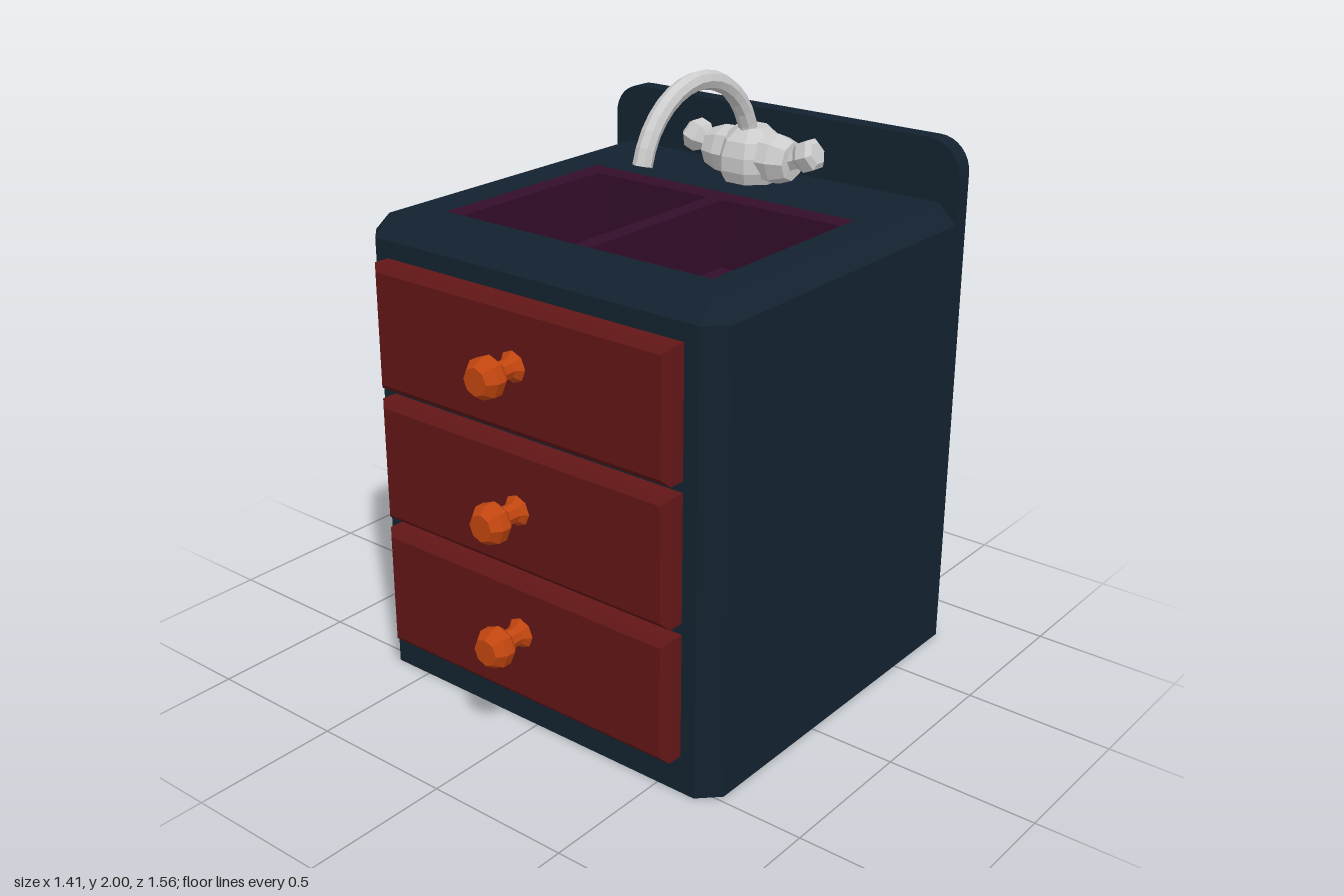
import * as THREE from 'three';

const mat = (color) => new THREE.MeshStandardMaterial({ color, flatShading: true, side: THREE.DoubleSide });
const navy = mat(0x13222f), red = mat(0x621616), orange = mat(0xc2460f), plum = mat(0x330d2a), grey = mat(0xcccccc);

function add(parent, name, geometry, material, x = 0, y = 0, z = 0) {
  const mesh = new THREE.Mesh(geometry, material);
  mesh.name = name;
  mesh.position.set(x, y, z);
  parent.add(mesh);
  return mesh;
}

// Joins rings of [x, y, z] corners with quads; may close the last ring.
function loft(rings, cap = false) {
  const pos = [], n = rings[0].length;
  for (let r = 0; r < rings.length - 1; r++) {
    for (let i = 0; i < n; i++) {
      const j = (i + 1) % n;
      const a = rings[r][i], b = rings[r][j], c = rings[r + 1][j], d = rings[r + 1][i];
      pos.push(...a, ...b, ...c, ...a, ...c, ...d);
    }
  }
  const last = rings[rings.length - 1];
  if (cap) for (let i = 1; i < n - 1; i++) pos.push(...last[0], ...last[i], ...last[i + 1]);
  const g = new THREE.BufferGeometry();
  g.setAttribute('position', new THREE.Float32BufferAttribute(pos, 3));
  g.computeVertexNormals();
  return g;
}

// Rectangle ring, counter-clockwise seen from above
const rect = (x0, x1, z0, z1, y) => [[x0, y, z1], [x1, y, z1], [x1, y, z0], [x0, y, z0]];

// Low-poly turned form from [radius, height] pairs
const turned = (points, sides = 8) => new THREE.LatheGeometry(points.map(([r, y]) => new THREE.Vector2(r, y)), sides);

const W = 0.705, BACK = -0.78, FRONT = 0.543, TOP = 1.59, C = 0.065;
const basin = { x0: -0.51, x1: 0.54, z0: -0.375, z1: 0.355 };

function makeCabinet() {
  const g = new THREE.Group();
  g.name = 'cabinet';
  // Shell, open underneath, with chamfered front corners and top edges
  const ring = (y) => [[-W + C, y, FRONT], [W - C, y, FRONT], [W, y, FRONT - C], [W, y, BACK], [-W, y, BACK], [-W, y, FRONT - C]];
  const inner = [-1, 1, 1, 1, -1, -1].map((s, i) => [s * (W - C), TOP, i === 3 || i === 4 ? BACK : FRONT - C]);
  add(g, 'cabinetShell', loft([ring(0), ring(TOP - C), inner]), navy);

  // Worktop with the basin opening
  const top = new THREE.Shape([[-W + C, -BACK], [-W + C, C - FRONT], [W - C, C - FRONT], [W - C, -BACK]].map((p) => new THREE.Vector2(...p)));
  const { x0, x1, z0, z1 } = basin;
  top.holes.push(new THREE.Path([[x0, -z0], [x1, -z0], [x1, -z1], [x0, -z1]].map((p) => new THREE.Vector2(...p))));
  add(g, 'worktop', new THREE.ShapeGeometry(top).rotateX(-Math.PI / 2), navy, 0, TOP, 0);

  // Back panel with rounded upper corners
  const r = 0.11, h = 1.795, s = new THREE.Shape();
  s.moveTo(-W, TOP - C);
  s.lineTo(W, TOP - C);
  s.absarc(W - r, h - r, r, 0, Math.PI / 2);
  s.absarc(-W + r, h - r, r, Math.PI / 2, Math.PI);
  add(g, 'backsplash', new THREE.ExtrudeGeometry(s, { depth: 0.065, bevelEnabled: false, curveSegments: 4 }), navy, 0, 0, BACK);
  return g;
}

function makeBasin() {
  const g = new THREE.Group();
  g.name = 'basin';
  const { x0, x1, z0, z1 } = basin, t = 0.022, floor = TOP - 0.25;
  const rings = [
    rect(x0, x1, z0, z1, TOP),
    rect(x0 + t, x1 - t, z0 + t, z1 - t, TOP - 0.02),
    rect(x0 + t, x1 - t, z0 + t, z1 - t, floor),
  ];
  add(g, 'basinBowl', loft(rings.map((ring) => ring.reverse()), false), plum);
  add(g, 'basinFloor', new THREE.PlaneGeometry(x1 - x0 - 2 * t, z1 - z0 - 2 * t).rotateX(-Math.PI / 2), plum, (x0 + x1) / 2, floor, (z0 + z1) / 2);
  add(g, 'basinDivider', new THREE.BoxGeometry(0.06, 0.23, z1 - z0 - 2 * t), plum, 0.015, floor + 0.115, (z0 + z1) / 2);
  return g;
}

function makeDrawer(y0, y1, knobY) {
  const g = new THREE.Group();
  g.name = 'drawer';
  // Front board with a bevelled face
  const b = 0.022, w = 0.588;
  const ring = (inset, z) => [[-w + inset, y0 + inset, z], [w - inset, y0 + inset, z], [w - inset, y1 - inset, z], [-w + inset, y1 - inset, z]];
  add(g, 'drawerFront', loft([ring(0, FRONT - 0.01), ring(0, 0.597), ring(b, 0.617)], true), red);
  // Turned knob
  const knob = turned([[0.055, 0], [0.032, 0.025], [0.032, 0.068], [0.052, 0.082], [0.067, 0.1], [0.067, 0.132], [0.045, 0.163], [0, 0.163]]);
  add(g, 'knob', knob.rotateX(Math.PI / 2), orange, 0.007, knobY, 0.613);
  return g;
}

function makeFaucet() {
  const g = new THREE.Group();
  g.name = 'faucet';
  const z = -0.575;
  // Faceted body and its side arms
  const body = turned([[0.1, 0], [0.118, 0.04], [0.118, 0.09], [0.1, 0.14], [0.055, 0.18], [0, 0.18]], 8);
  add(g, 'faucetBody', body.rotateY(Math.PI / 8), grey, 0, TOP, z);
  for (const s of [-1, 1]) {
    const side = new THREE.Group();
    side.name = s > 0 ? 'leftTap' : 'rightTap';
    side.position.set(0, TOP, z);
    const arm = turned([[0.088, 0.04], [0.085, 0.11], [0.065, 0.165], [0, 0.17]], 8);
    add(side, 'tapArm', arm.rotateZ(-s * Math.PI / 2), grey, 0, 0.083, 0);
    const handle = turned([[0.036, -0.03], [0.036, 0.035], [0.056, 0.06], [0.056, 0.1], [0.038, 0.115], [0, 0.115]], 6);
    add(side, 'tapHandle', handle, grey, s * 0.155, 0.085, 0).rotation.z = -s * 1.2;
    g.add(side);
  }
  // Arched spout
  const path = [], R = 0.287, n = 14;
  for (let i = 0; i <= n; i++) {
    const a = 0.24 + (Math.PI - 0.24) * (i / n);
    path.push(new THREE.Vector3(0, 1.682 + R * Math.sin(a), -0.275 + R * Math.cos(a)));
  }
  add(g, 'spout', new THREE.TubeGeometry(new THREE.CatmullRomCurve3(path), 16, 0.032, 8), grey);
  add(g, 'spoutEnd', new THREE.CircleGeometry(0.032, 8).rotateX(Math.PI / 2 - 0.24), grey, path[0].x, path[0].y, path[0].z);
  return g;
}

export function createModel() {
  const model = new THREE.Group();
  model.name = 'sinkCabinet';
  model.add(makeCabinet(), makeBasin(), makeFaucet());
  for (const [y0, y1, k] of [[0.13, 0.55, 0.377], [0.588, 1.01, 0.803], [1.047, 1.467, 1.273]]) model.add(makeDrawer(y0, y1, k));
  return model;
}
